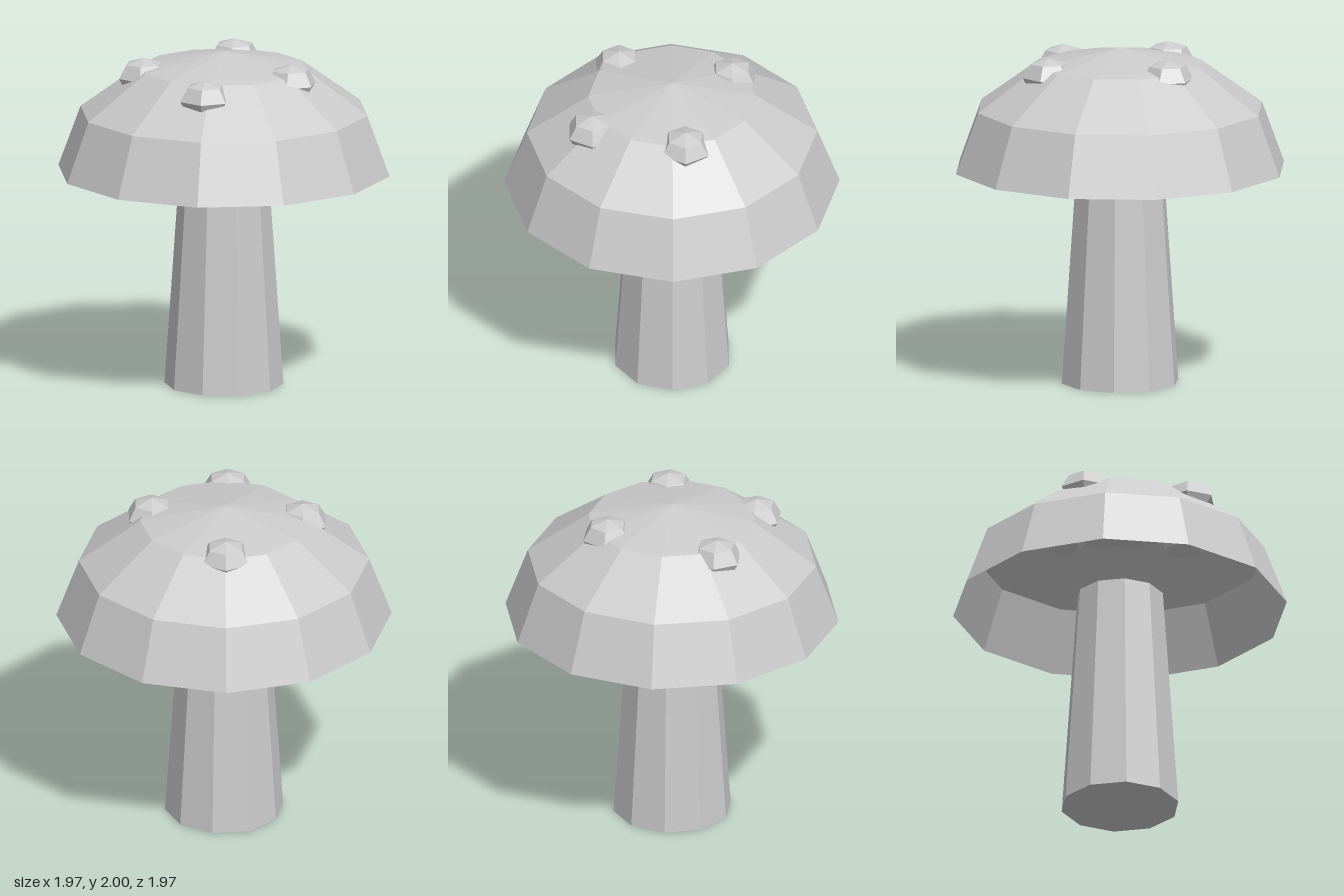
import * as THREE from 'three';

const CAP = { radius: 0.985, height: 0.72, base: 1.28 };

export function createModel() {
  const group = new THREE.Group();
  const material = new THREE.MeshStandardMaterial({ color: 0xcccccc, flatShading: true });
  const openMaterial = material.clone();
  openMaterial.side = THREE.DoubleSide;

  const add = (name, geometry, mat = material) => {
    const mesh = new THREE.Mesh(geometry, mat);
    mesh.name = name;
    group.add(mesh);
    return mesh;
  };

  // Tapered ten-sided stem, ending just inside the cap
  const stemHeight = 1.36;
  add('stem', new THREE.CylinderGeometry(0.257, 0.35, stemHeight, 10))
    .position.y = stemHeight / 2;

  // Hollow flattened dome, open below
  const cap = add('cap', new THREE.SphereGeometry(
    CAP.radius, 12, 3, 0, Math.PI * 2, 0, Math.PI / 2), openMaterial);
  cap.scale.y = CAP.height / CAP.radius;
  cap.position.y = CAP.base;

  // Flattened six-sided spots, sunk halfway through the cap
  const spotRadius = 0.155, spotHalfHeight = 0.115, rise = 0.05;
  const spotGeometry = new THREE.SphereGeometry(spotRadius, 6, 4);
  spotGeometry.rotateY(Math.PI / 2);
  spotGeometry.scale(1, spotHalfHeight / spotRadius, 1);
  const spots = [[0.075, 0.445], [-0.47, 0.238], [-0.308, -0.357], [0.355, -0.21]];
  for (const [x, z] of spots) {
    const surface = CAP.base + CAP.height * Math.sqrt(1 - (x * x + z * z) / CAP.radius ** 2);
    add('spot', spotGeometry).position.set(x, surface + rise - spotHalfHeight, z);
  }
  return group;
}
